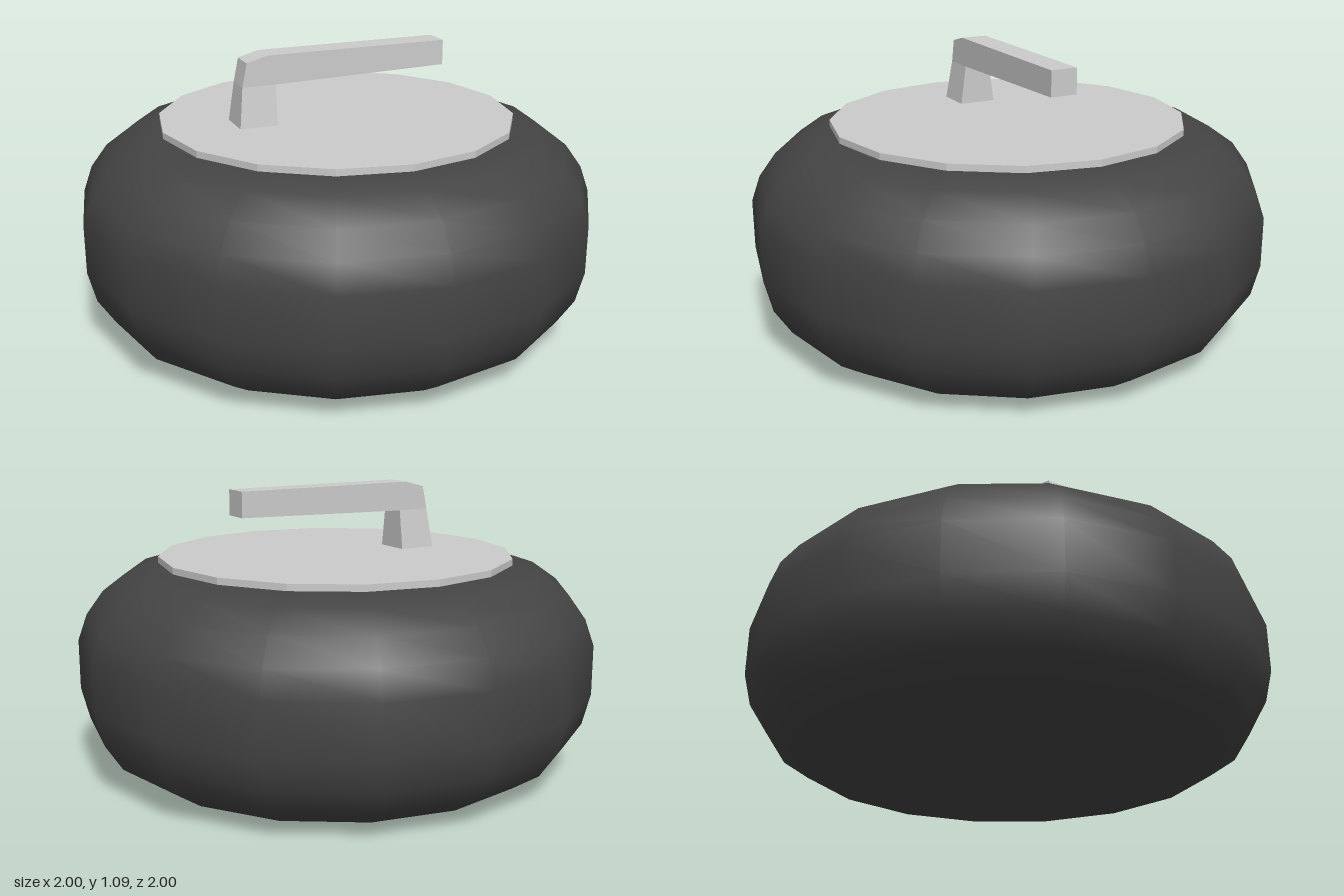
import * as THREE from 'three';

const SIDES = 16;

// Sweeps a rectangular bar through sections of [outerX, outerY, innerX, innerY, halfWidth]
function sweepBar(sections) {
  const rings = sections.map(([ox, oy, ix, iy, w]) => [
    new THREE.Vector3(ox, oy, w), new THREE.Vector3(ix, iy, w),
    new THREE.Vector3(ix, iy, -w), new THREE.Vector3(ox, oy, -w),
  ]);
  const points = [];
  const tri = (a, b, c) => {
    if (!a.equals(b) && !b.equals(c) && !c.equals(a)) points.push(a, b, c);
  };
  const quad = (a, b, c, d) => { tri(a, b, c); tri(a, c, d); };
  for (let i = 0; i < rings.length - 1; i++) {
    for (let k = 0; k < 4; k++) {
      const n = (k + 1) % 4;
      quad(rings[i][k], rings[i][n], rings[i + 1][n], rings[i + 1][k]);
    }
  }
  const first = rings[0], last = rings[rings.length - 1];
  quad(first[3], first[2], first[1], first[0]);
  quad(last[0], last[1], last[2], last[3]);
  const geometry = new THREE.BufferGeometry().setFromPoints(points);
  geometry.computeVertexNormals();
  return geometry;
}

export function createModel() {
  const model = new THREE.Group();
  model.name = 'curlingStone';
  const stoneMaterial = new THREE.MeshStandardMaterial({ color: 0x444444 });
  const greyMaterial = new THREE.MeshStandardMaterial({ color: 0xcccccc, flatShading: true });

  const add = (name, geometry, material) => {
    const mesh = new THREE.Mesh(geometry, material);
    mesh.name = name;
    model.add(mesh);
    return mesh;
  };

  // Rounded stone body, smooth around its low-poly ring
  const profile = [
    [0, 0], [0.67, 0.005], [0.8, 0.03], [0.905, 0.1], [0.97, 0.2], [1, 0.32],
    [1, 0.51], [0.965, 0.61], [0.9, 0.7], [0.8, 0.77], [0.69, 0.803], [0, 0.803],
  ].map(([x, y]) => new THREE.Vector2(x, y));
  add('stoneBody', new THREE.LatheGeometry(profile, SIDES), stoneMaterial);

  // Thin plate on top
  const plate = add('topPlate', new THREE.CylinderGeometry(0.687, 0.687, 0.028, SIDES), greyMaterial);
  plate.position.y = 0.814;

  // Handle: flared foot, bevelled elbow and straight grip
  add('handle', sweepBar([
    [-0.412, 0.826, -0.265, 0.826, 0.073],
    [-0.394, 0.98, -0.265, 0.98, 0.052],
    [-0.375, 1.07, -0.265, 0.98, 0.052],
    [-0.295, 1.092, -0.265, 0.98, 0.052],
    [0.43, 1.092, 0.43, 0.995, 0.052],
  ]), greyMaterial);

  return model;
}
